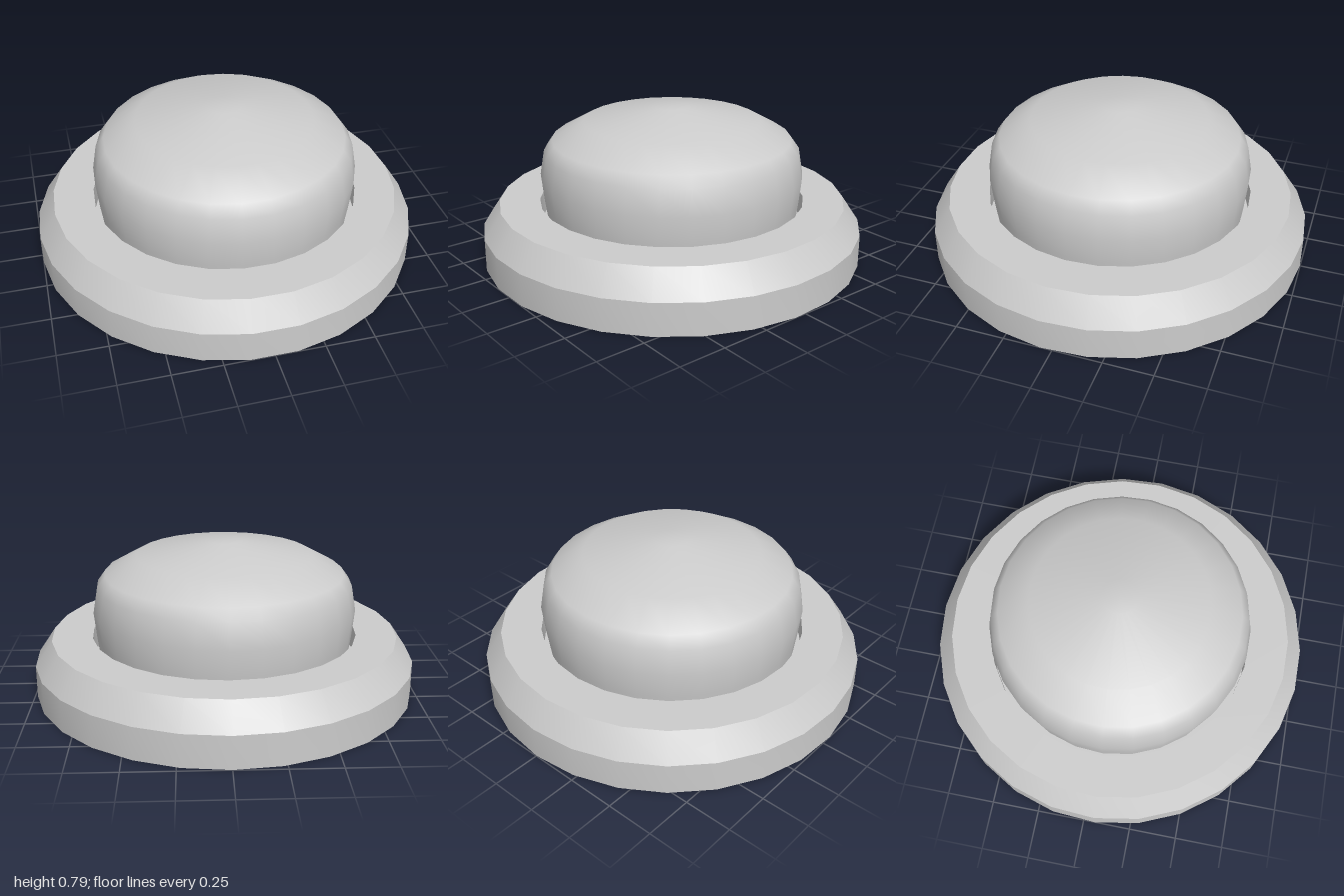
import * as THREE from 'three';
import { toCreasedNormals } from 'three/addons/utils/BufferGeometryUtils.js';

const SIDES = 27;

// Turned solid from [radius, height] pairs, listed bottom to top along the outside
function turned(name, profile, creased) {
  const points = profile.map(([r, y]) => new THREE.Vector2(r, y));
  let geometry = new THREE.LatheGeometry(points, SIDES, Math.PI);
  if (creased) geometry = toCreasedNormals(geometry, Math.PI / 6);
  const mesh = new THREE.Mesh(geometry, new THREE.MeshStandardMaterial({ color: 0xcccccc }));
  mesh.name = name;
  return mesh;
}

export function createModel() {
  const model = new THREE.Group();
  model.name = 'pushButton';

  // Housing: solid underside, bevelled rim and a recess for the cap
  const housing = turned('housing', [
    [0, 0], [1.002, 0], [1.002, 0.167], [0.912, 0.3],
    [0.7, 0.3], [0.7, 0.17], [0, 0.17],
  ], true);

  // Domed cap with a slight bulge, sitting loosely in the recess
  const cap = turned('cap', [
    [0.66, 0.17], [0.677, 0.3], [0.691, 0.44], [0.668, 0.57],
    [0.625, 0.63], [0.46, 0.722], [0.09, 0.792], [0, 0.792],
  ], false);

  model.add(housing, cap);
  // Odd side count: recentre the footprint
  for (const part of model.children) part.position.z = 0.0034;
  return model;
}
